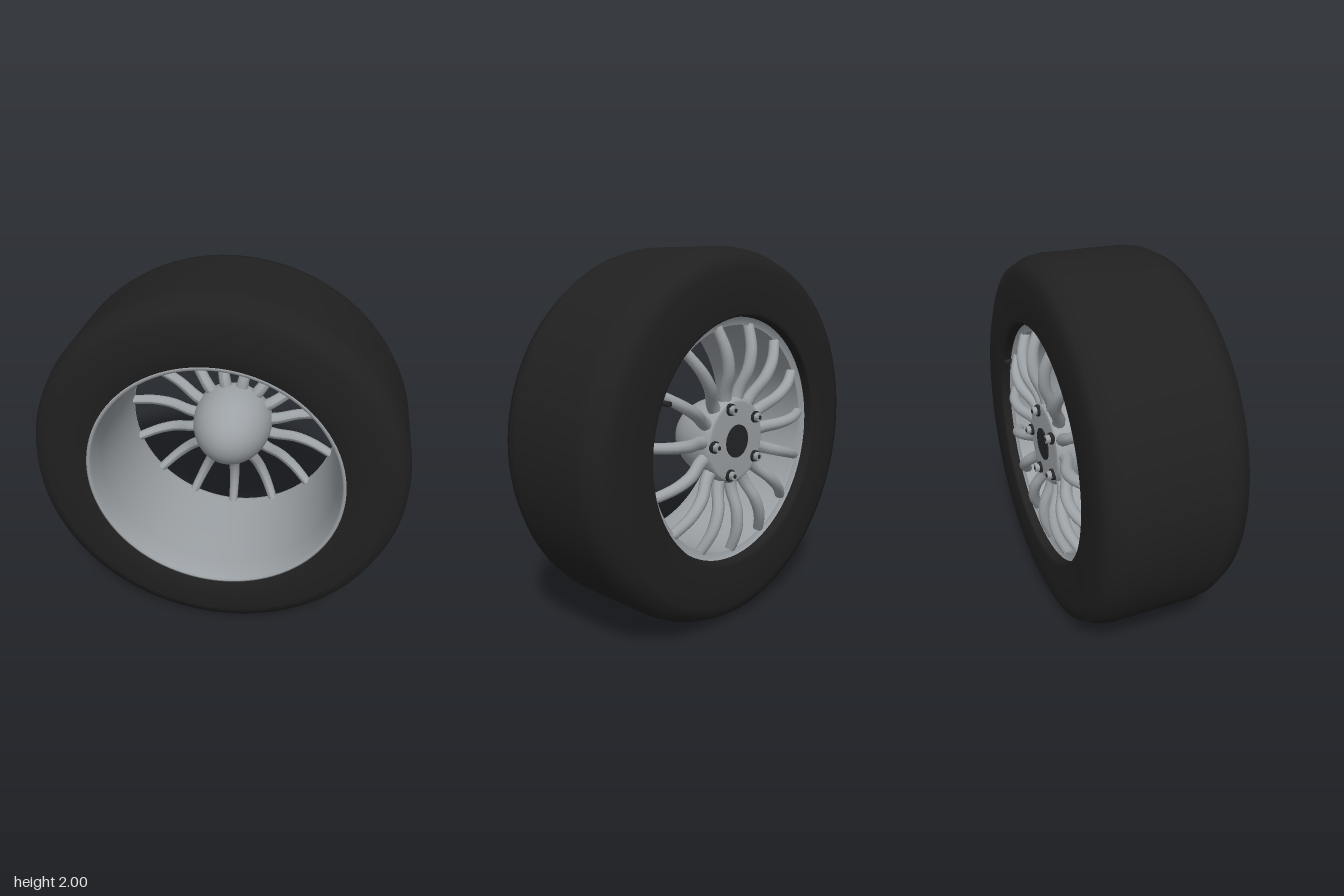
import * as THREE from 'three';

const rubber = new THREE.MeshStandardMaterial({ name: 'black rubber', color: 0x202020 });
const metal = new THREE.MeshStandardMaterial({ name: 'grey alloy', color: 0x9ca1a5, side: THREE.DoubleSide });
const dark = new THREE.MeshStandardMaterial({ name: 'dark metal', color: 0x242526 });

function add(parent, name, geometry, material) {
  const mesh = new THREE.Mesh(geometry, material);
  mesh.name = name;
  parent.add(mesh);
  return mesh;
}

// Revolve [radius, z] points around the wheel axis
function revolve(points, segments = 96) {
  const profile = points.map(([r, z]) => new THREE.Vector2(r, z));
  return new THREE.LatheGeometry(profile, segments).rotateX(Math.PI / 2);
}

// Cylinder along the wheel axis, centred at polar position (r, angle)
function axial(radius, depth, sides, r, angle, z) {
  return new THREE.CylinderGeometry(radius, radius, depth, sides)
    .rotateX(Math.PI / 2)
    .translate(r * Math.cos(angle), r * Math.sin(angle), z);
}

// Tapered spoke that bows towards the back in the middle
function spokeGeometry() {
  const bow = new THREE.SplineCurve([
    [0.15, -0.28], [0.26, -0.29], [0.38, -0.335], [0.5, -0.335], [0.62, -0.29],
  ].map(([r, z]) => new THREE.Vector2(r, z)));
  const geometry = new THREE.CylinderGeometry(1, 1, 1, 10, 16);
  const p = geometry.attributes.position;
  for (let i = 0; i < p.count; i++) {
    const t = p.getY(i) + 0.5;
    const c = bow.getPoint(t);
    p.setXYZ(i, p.getX(i) * (0.037 - 0.011 * t), c.x, c.y + p.getZ(i) * (0.036 - 0.004 * t));
  }
  geometry.computeVertexNormals();
  return geometry;
}

export function createModel() {
  const model = new THREE.Group();
  model.name = 'wheel';
  const wheel = new THREE.Group();
  wheel.name = 'wheelAssembly';
  wheel.position.y = 1;
  model.add(wheel);

  // Tyre with rounded shoulders
  add(wheel, 'tyre', revolve([
    [0.655, -0.365], [0.67, -0.375], [0.78, -0.375], [0.89, -0.375], [0.955, -0.35], [0.99, -0.28], [1, -0.22],
    [1, 0], [1, 0.22], [0.99, 0.28], [0.955, 0.35], [0.89, 0.375], [0.78, 0.375], [0.68, 0.375],
    [0.67, 0.34], [0.65, 0], [0.645, -0.3], [0.655, -0.365],
  ]), rubber);

  // Deep barrel and front lip
  add(wheel, 'rimBarrel', revolve([
    [0.65, 0.32], [0.635, 0.25], [0.62, 0], [0.607, -0.29], [0.61, -0.31],
  ]), metal);
  add(wheel, 'rimLip', revolve([
    [0.68, 0.36], [0.679, 0.373], [0.668, 0.375], [0.658, 0.365], [0.65, 0.32],
  ]), metal);
  add(wheel, 'rimBackFlange', revolve([[0.607, -0.31], [0.65, -0.32], [0.66, -0.35]]), metal);

  // Fifteen spokes, the first pointing straight down
  const spoke = spokeGeometry();
  for (let i = 0; i < 15; i++) {
    add(wheel, 'spoke', spoke, metal).rotation.z = Math.PI + (i * Math.PI * 2) / 15;
  }

  // Hub: flat back plate and domed front
  const dome = [];
  for (let i = 0; i <= 16; i++) {
    const a = (i / 16) * Math.PI / 2;
    dome.push([0.23 * Math.cos(a), -0.27 + 0.32 * Math.sin(a)]);
  }
  add(wheel, 'hubDome', revolve(dome, 48), metal);
  add(wheel, 'hubSide', revolve([[0.215, -0.325], [0.23, -0.31], [0.23, -0.27]], 48), metal);
  add(wheel, 'hubPlate', revolve([[0, -0.33], [0.2, -0.33], [0.215, -0.325]], 48), metal);
  add(wheel, 'centreCap', axial(0.088, 0.008, 40, 0, 0, -0.332), dark);

  // Five wheel bolts
  for (let i = 0; i < 5; i++) {
    const angle = (i * Math.PI * 2) / 5;
    add(wheel, 'boltSeat', axial(0.032, 0.02, 16, 0.185, angle, -0.333), dark);
    add(wheel, 'boltHead', axial(0.025, 0.05, 6, 0.185, angle, -0.341), metal);
    add(wheel, 'boltSocket', axial(0.012, 0.006, 6, 0.185, angle, -0.366), dark);
  }

  // Tyre valve
  add(wheel, 'valve', axial(0.014, 0.06, 10, 0.61, 0.47, -0.34), dark);
  return model;
}
